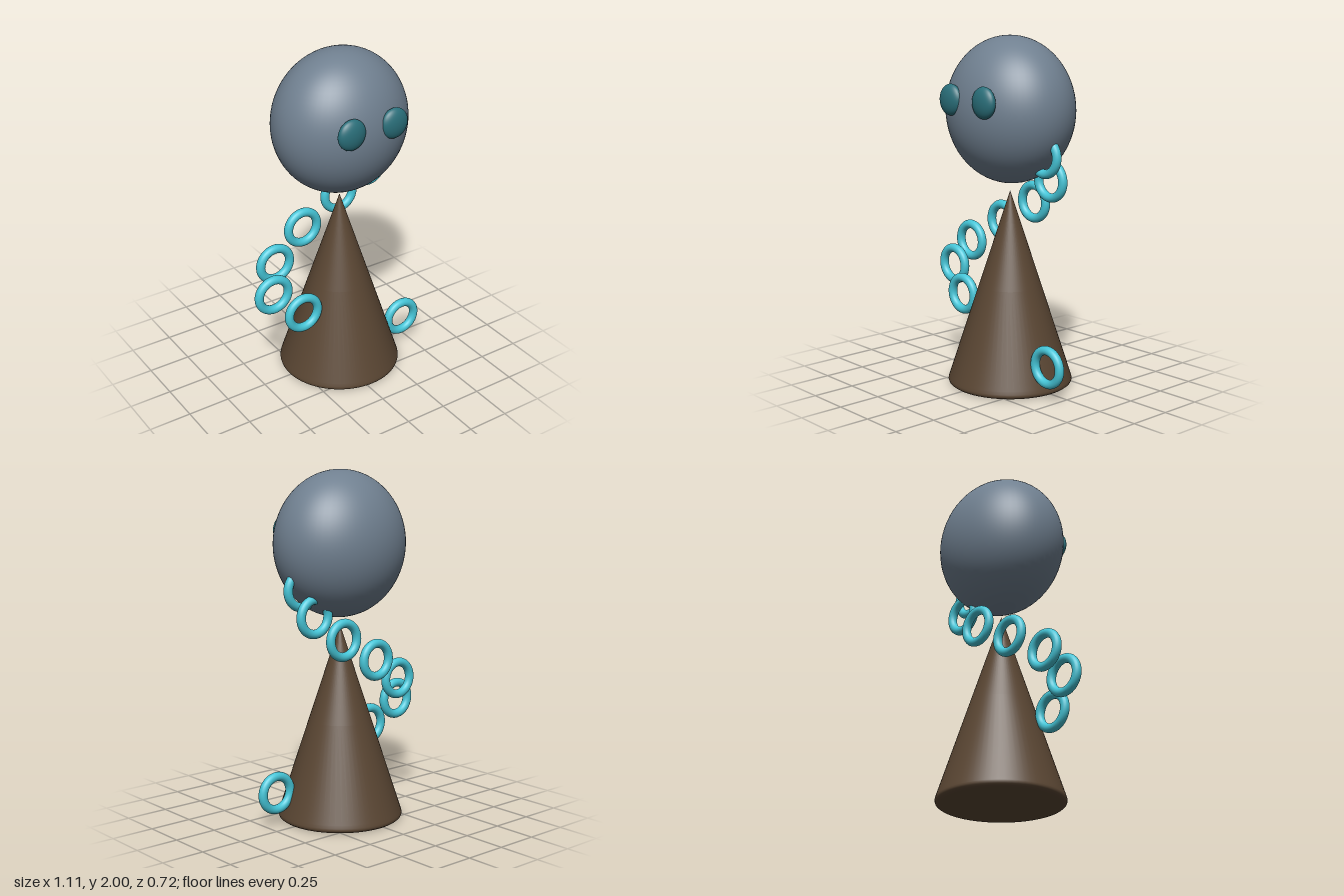
import * as THREE from 'three';

const material = (color) => new THREE.MeshStandardMaterial({ color });

const CENTRE_X = 0.03;

export function createModel() {
  const model = new THREE.Group();
  model.name = 'figure';

  const add = (name, geometry, mat, x, y, z, parent = model) => {
    const mesh = new THREE.Mesh(geometry, mat);
    mesh.name = name;
    mesh.position.set(x, y, z);
    parent.add(mesh);
    return mesh;
  };

  // Cone body with a softly rounded base edge
  const profile = [
    [0, 0], [0.335, 0], [0.347, 0.003], [0.356, 0.01], [0.359, 0.02],
    [0.357, 0.03], [0.352, 0.046], [0.18, 0.574], [0.01, 1.095], [0, 1.125],
  ].map(([r, y]) => new THREE.Vector2(r, y));
  add('body', new THREE.LatheGeometry(profile, 64), material(0x5a4633), CENTRE_X, 0, 0);

  // Egg-shaped head
  const sphere = new THREE.SphereGeometry(1, 64, 40);
  add('head', sphere, material(0x708090), CENTRE_X, 1.585, 0).scale.set(0.4, 0.415, 0.336);

  // Flattened eyes, mirrored about the head's centre
  const eyeMaterial = material(0x2a6f7a);
  for (const [name, side] of [['rightEye', -1], ['leftEye', 1]]) {
    add(name, sphere, eyeMaterial, CENTRE_X + side * 0.137, 1.65, 0.317)
      .scale.set(0.085, 0.088, 0.041);
  }

  // Rings winding around the body in evenly rising steps: [x, z] from the bottom up
  const rings = new THREE.Group();
  rings.name = 'ringSpiral';
  model.add(rings);
  const ringGeometry = new THREE.TorusGeometry(0.096, 0.026, 20, 48);
  const ringMaterial = material(0x45c4d6);
  const path = [
    [0.43, 0.087], [0.08, 0.12], [-0.28, 0.092], [-0.437, 0.027], [-0.374, -0.055],
    [-0.153, -0.107], [0.103, -0.117], [0.28, -0.076], [0.308, 0],
  ];
  path.forEach(([x, z], i) => {
    add(`ring${i + 1}`, ringGeometry, ringMaterial, x, 0.19 + i * 0.1443, z, rings);
  });

  return model;
}
